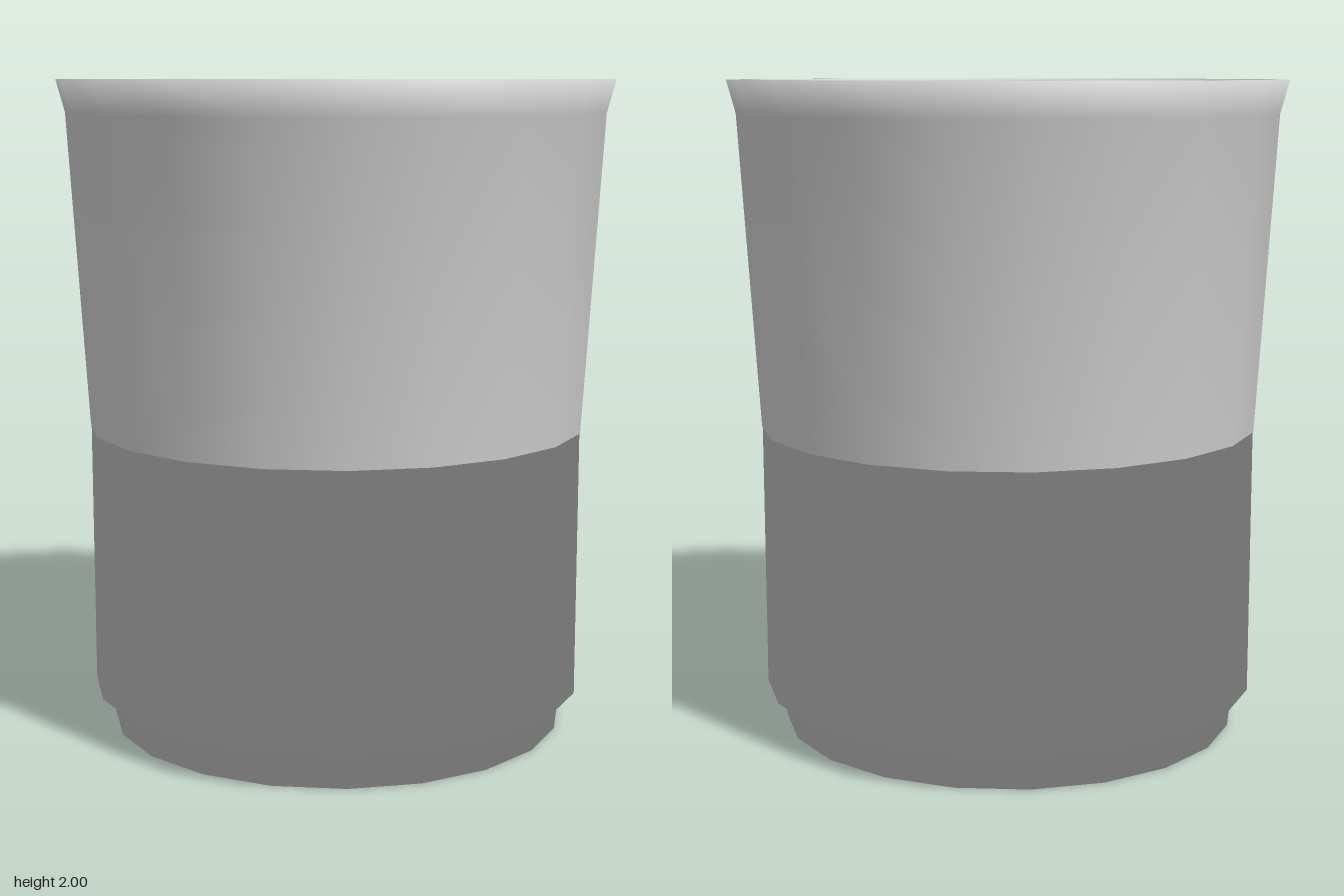
import * as THREE from 'three';

const SIDES = 20;

// Turned surface whose normals blend neighbouring profile segments equally
function turned(name, profile, material) {
  const pts = profile.map(([r, y]) => new THREE.Vector2(r, y));
  const geometry = new THREE.LatheGeometry(pts, SIDES);
  const segment = pts.slice(1).map((p, i) =>
    new THREE.Vector2(p.y - pts[i].y, pts[i].x - p.x).normalize());
  const normal = geometry.attributes.normal;
  for (let s = 0; s <= SIDES; s++) {
    const a = (s / SIDES) * Math.PI * 2;
    pts.forEach((p, j) => {
      const n = new THREE.Vector2();
      if (j > 0) n.add(segment[j - 1]);
      if (j < segment.length) n.add(segment[j]);
      n.normalize();
      normal.setXYZ(s * pts.length + j, n.x * Math.sin(a), n.y, n.x * Math.cos(a));
    });
  }
  const mesh = new THREE.Mesh(geometry, material);
  mesh.name = name;
  return mesh;
}

export function createModel() {
  const group = new THREE.Group();
  group.name = 'cup';
  const grey = new THREE.MeshStandardMaterial({ color: 0xcccccc });
  grey.name = 'light grey';

  group.add(
    // Base, narrow foot, ledge and straight lower band
    turned('footAndBand', [
      [0, 0], [0.705, 0], [0.717, 0.12], [0.765, 0.12], [0.765, 0.94], [0.767, 0.94],
    ], grey),
    // Flared upper wall, rounded lip, inside wall and floor
    turned('upperWallAndInterior', [
      [0.767, 0.94], [0.825, 1.9], [0.852, 2], [0.767, 2], [0.72, 0.15], [0, 0.15],
    ], grey),
  );
  return group;
}
